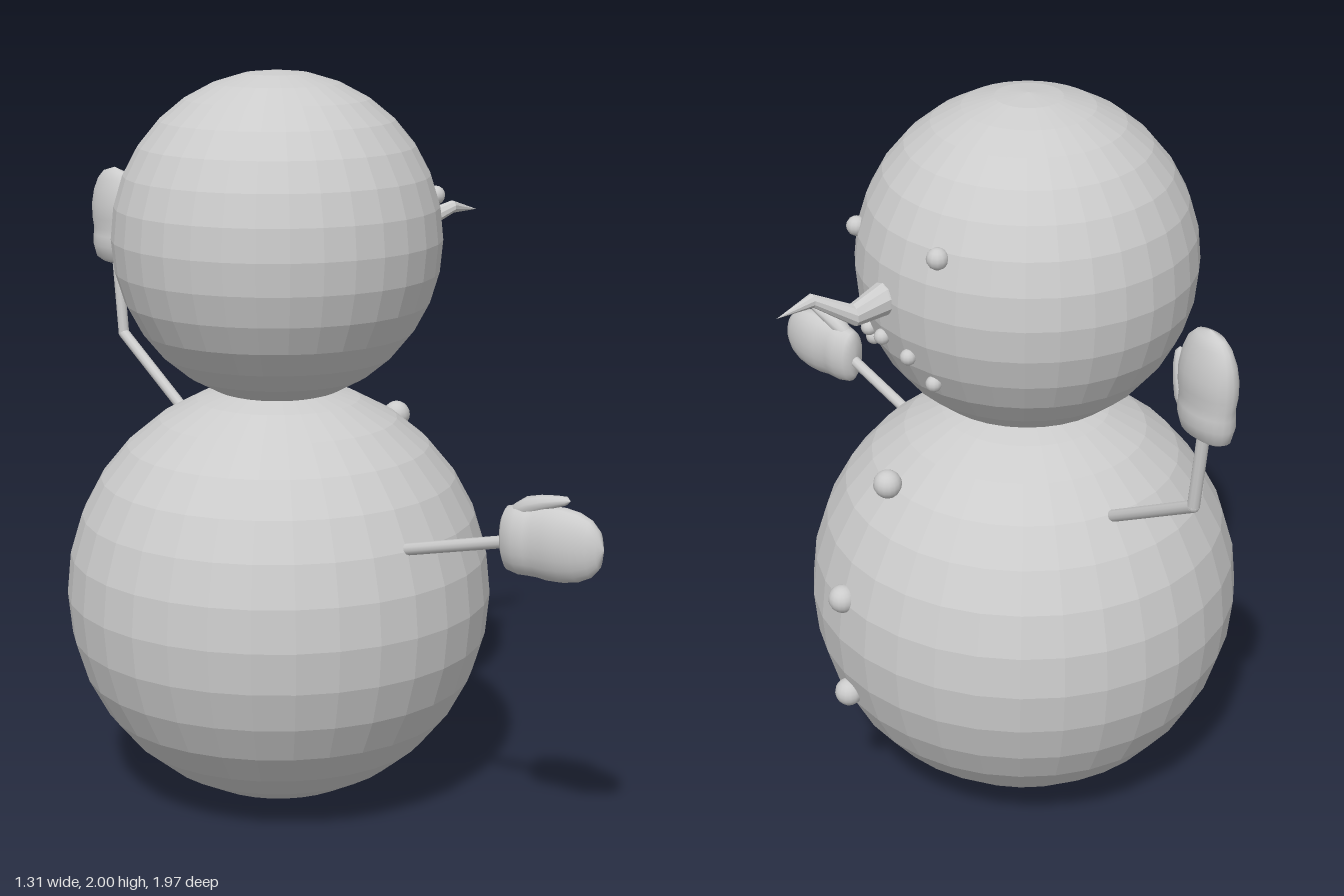
import * as THREE from 'three';

const CX = -0.08, CZ = -0.12;
const V = (x, y, z) => new THREE.Vector3(x, y, z);
const flat = new THREE.MeshStandardMaterial({ color: 0xcccccc, flatShading: true });
const smooth = new THREE.MeshStandardMaterial({ color: 0xcccccc });

function add(parent, name, geometry, material = flat) {
  const mesh = new THREE.Mesh(geometry, material);
  mesh.name = name;
  parent.add(mesh);
  return mesh;
}

function ball(parent, name, center, r, w = 16, h = 10) {
  add(parent, name, new THREE.SphereGeometry(r, w, h), w > 16 ? flat : smooth).position.copy(center);
}

// Stick between two points
function stick(parent, name, a, b, r) {
  const mesh = add(parent, name, new THREE.CylinderGeometry(r, r, a.distanceTo(b), 10), smooth);
  mesh.position.copy(a).lerp(b, 0.5);
  mesh.quaternion.setFromUnitVectors(V(0, 1, 0), b.clone().sub(a).normalize());
}

// Skin over elliptical rings [centreX, y, centreZ, radiusX, radiusZ], rising in y
function loft(rings, sides) {
  const pos = [], index = [];
  rings.forEach(([cx, y, cz, rx, rz]) => {
    for (let i = 0; i < sides; i++) {
      const a = (i / sides) * Math.PI * 2;
      pos.push(cx + rx * Math.cos(a), y, cz + rz * Math.sin(a));
    }
  });
  for (let k = 0; k < rings.length - 1; k++) {
    for (let i = 0; i < sides; i++) {
      const j = (i + 1) % sides, a = k * sides, b = a + sides;
      index.push(a + i, b + i, a + j, a + j, b + i, b + j);
    }
  }
  const g = new THREE.BufferGeometry();
  g.setAttribute('position', new THREE.Float32BufferAttribute(pos, 3));
  g.setIndex(index);
  g.computeVertexNormals();
  return g;
}

// Mitten: y runs from wrist to fingertips, x toward the thumb, z is the thickness
function mitten(parent, name, wrist, along, thumbSide) {
  const hand = new THREE.Group();
  hand.name = name;
  const palm = [
    [0, 0, 0, 0, 0], [0, 0.002, 0, 0.06, 0.025], [0, 0.015, 0, 0.082, 0.042],
    [0, 0.05, 0, 0.09, 0.053], [0, 0.08, 0, 0.09, 0.051], [0, 0.1, 0, 0.091, 0.047],
    [0, 0.13, 0, 0.095, 0.052], [0, 0.17, 0, 0.095, 0.052], [0, 0.21, 0, 0.088, 0.045],
    [0, 0.245, 0, 0.072, 0.034], [0, 0.267, 0, 0.048, 0.022], [0, 0.28, 0, 0, 0],
  ];
  const thumb = [
    [0.06, 0.02, 0, 0, 0], [0.07, 0.035, 0, 0.02, 0.02], [0.085, 0.07, 0, 0.027, 0.026],
    [0.098, 0.11, 0, 0.022, 0.024], [0.107, 0.15, 0, 0.016, 0.02],
    [0.112, 0.178, 0, 0.011, 0.013], [0.112, 0.19, 0, 0, 0],
  ];
  add(hand, 'palm', loft(palm, 20), smooth);
  add(hand, 'thumb', loft(thumb, 10), smooth);
  const y = along.clone().normalize();
  const z = thumbSide.clone().cross(y).normalize();
  const x = y.clone().cross(z);
  hand.quaternion.setFromRotationMatrix(new THREE.Matrix4().makeBasis(x, y, z));
  hand.position.copy(wrist);
  parent.add(hand);
}

export function createModel() {
  const model = new THREE.Group();
  model.name = 'snowman';

  // Snowballs
  const headY = 1.557, headR = 0.443;
  ball(model, 'body', V(CX, 0.583, CZ), 0.582, 32, 16);
  ball(model, 'head', V(CX, headY, CZ), headR, 32, 16);

  // Buttons down the front of the body
  [[0.345, 1.01], [0.488, 0.705], [0.478, 0.403]].forEach(([x, y]) =>
    ball(model, 'button', V(x, y, CZ), 0.038));

  // Pebbles set on the surface of the head
  const pebble = (name, z, y, r) => {
    const x = CX + Math.sqrt(headR ** 2 - (y - headY) ** 2 - (z - CZ) ** 2);
    ball(model, name, V(x + 0.004, y, z), r, 12, 8);
  };
  pebble('eye', 0.078, 1.657, 0.026);
  pebble('eye', -0.302, 1.712, 0.028);
  [[0.035, 1.358], [-0.022, 1.42], [-0.12, 1.44], [-0.218, 1.42], [-0.267, 1.355]].forEach(([z, y]) =>
    pebble('mouthPebble', z, y, 0.021));

  // Crooked carrot nose: local y points out along +x, local x points down
  const nose = add(model, 'nose', loft([
    [0, -0.08, -0.01, 0.045, 0.045], [-0.005, 0, -0.02, 0.042, 0.043],
    [-0.02, 0.09, -0.035, 0.029, 0.028], [0.025, 0.18, 0.008, 0.018, 0.018],
    [0.008, 0.285, -0.005, 0, 0],
  ], 10));
  nose.rotation.z = -Math.PI / 2;
  nose.position.set(0.36, 1.56, CZ);
  nose.geometry.scale(-1, 1, 1);
  nose.geometry.index.array.reverse();
  nose.geometry.computeVertexNormals();

  // Raised arm with a bent elbow
  const shoulder = V(CX, 0.97, -0.5), elbow = V(CX, 1.185, -0.86), wrist = V(CX, 1.42, -0.887);
  stick(model, 'raisedUpperArm', shoulder, elbow, 0.016);
  stick(model, 'raisedForearm', elbow, wrist, 0.016);
  ball(model, 'elbow', elbow, 0.016, 10, 8);
  mitten(model, 'raisedMitten', V(CX, 1.392, -0.89), V(0, 1, 0), V(0, 0, 1));

  // Straight arm reaching outward
  stick(model, 'straightArm', V(-0.075, 0.81, 0.41), V(-0.025, 0.9, 0.75), 0.016);
  mitten(model, 'straightMitten', V(-0.03, 0.905, 0.72), V(0.08, 0.01, 0.27), V(0, 1, 0));

  return model;
}
